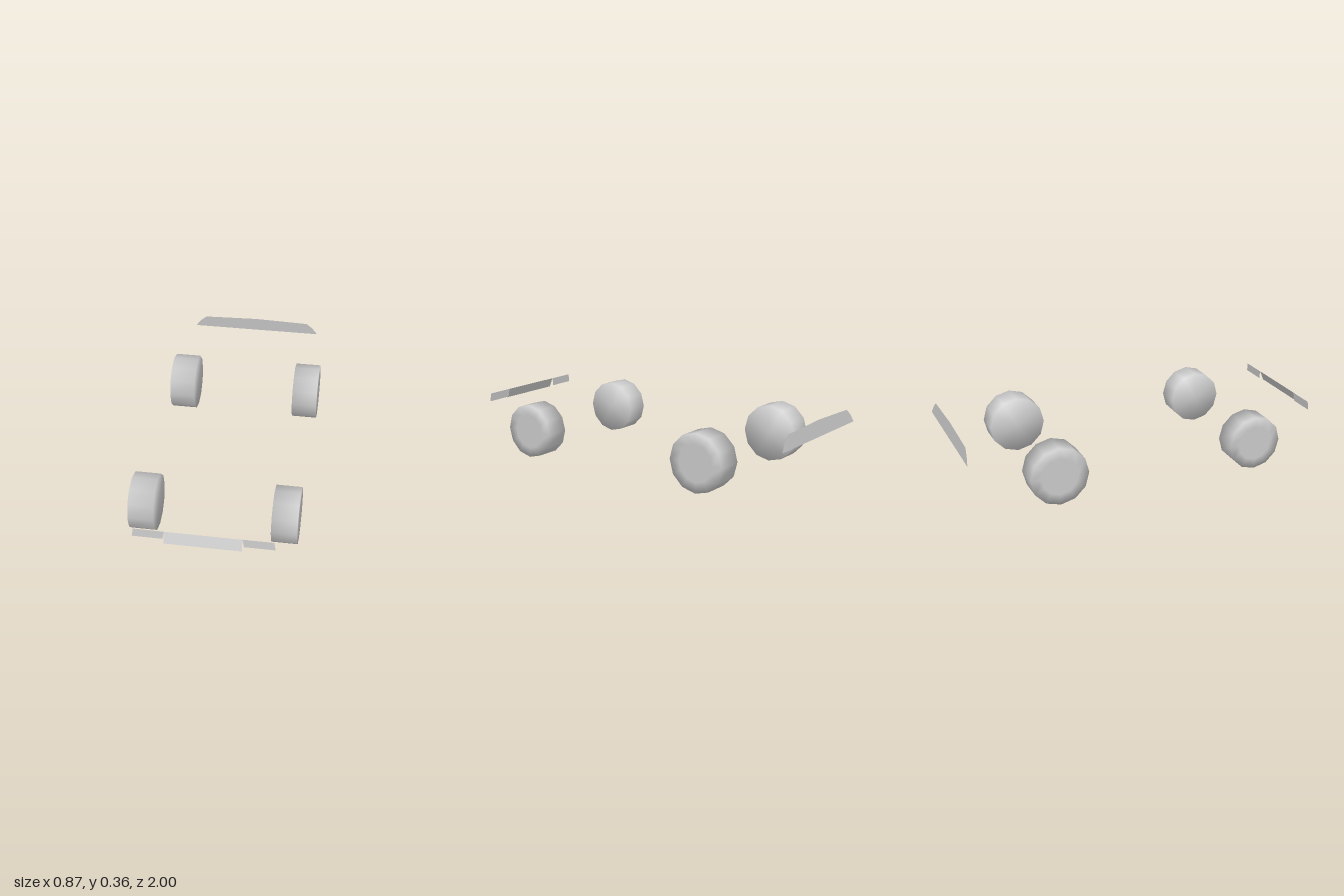
import * as THREE from 'three';

const material = new THREE.MeshStandardMaterial({ color: 0xcccccc });
const sheet = new THREE.MeshStandardMaterial({ color: 0xcccccc, side: THREE.DoubleSide });

// Closed 12-sided wheel with soft rim shading; the outer face has a flat hub disc
function makeWheel(name, side, radius, inner, outer, z) {
  const h = (outer - inner) / 2;
  const profile = [[0, -h], [radius, -h], [radius, h], [radius * 0.64, h], [0, h]]
    .map(([x, y]) => new THREE.Vector2(x, y));
  const geometry = new THREE.LatheGeometry(profile, 12);
  geometry.rotateZ(-side * Math.PI / 2); // lathe top points outward
  const wheel = new THREE.Mesh(geometry, material);
  wheel.name = name;
  wheel.position.set(side * (inner + outer) / 2, radius + 0.003, z);
  return wheel;
}

// Thin flat panel from an outline in x and y, leaning from zLow (bottom) to zHigh (top)
function makePanel(name, outline, zLow, zHigh) {
  const shape = new THREE.Shape(outline.map(([x, y]) => new THREE.Vector2(x, y)));
  const geometry = new THREE.ShapeGeometry(shape);
  const ys = outline.map((p) => p[1]);
  const low = Math.min(...ys), high = Math.max(...ys);
  const pos = geometry.attributes.position;
  for (let i = 0; i < pos.count; i++) {
    pos.setZ(i, THREE.MathUtils.mapLinear(pos.getY(i), low, high, zLow, zHigh));
  }
  geometry.computeVertexNormals();
  const panel = new THREE.Mesh(geometry, sheet);
  panel.name = name;
  return panel;
}

export function createModel() {
  const model = new THREE.Group();
  model.name = 'wheelsAndPanels';

  for (const [label, side] of [['Left', 1], ['Right', -1]]) {
    // Wheels: the rear pair is slightly larger and wider
    model.add(makeWheel('front' + label + 'Wheel', side, 0.15, 0.303, 0.437, 0.592));
    model.add(makeWheel('rear' + label + 'Wheel', side, 0.158, 0.293, 0.437, -0.537));

    // Outer front panels
    const outline = [[0.192, 0.303], [0.2, 0.257], [0.353, 0.257], [0.345, 0.303]]
      .map(([x, y]) => [side * x, y]);
    model.add(makePanel('front' + label + 'Panel', outline, 0.978, 0.976));
  }

  // Leaning centre panel at the front
  model.add(makePanel('frontCentrePanel',
    [[-0.192, 0.248], [0.192, 0.248], [0.192, 0.303], [-0.192, 0.303]], 1.0, 0.977));

  // Wide rear panel with a crowned top and sloping ends
  const half = [[0.385, 0.28], [0.355, 0.322], [0.318, 0.355]];
  const mirrored = half.map(([x, y]) => [-x, y]).reverse();
  model.add(makePanel('rearPanel', [...half, [0, 0.365], ...mirrored], -1.0, -0.987));

  return model;
}
